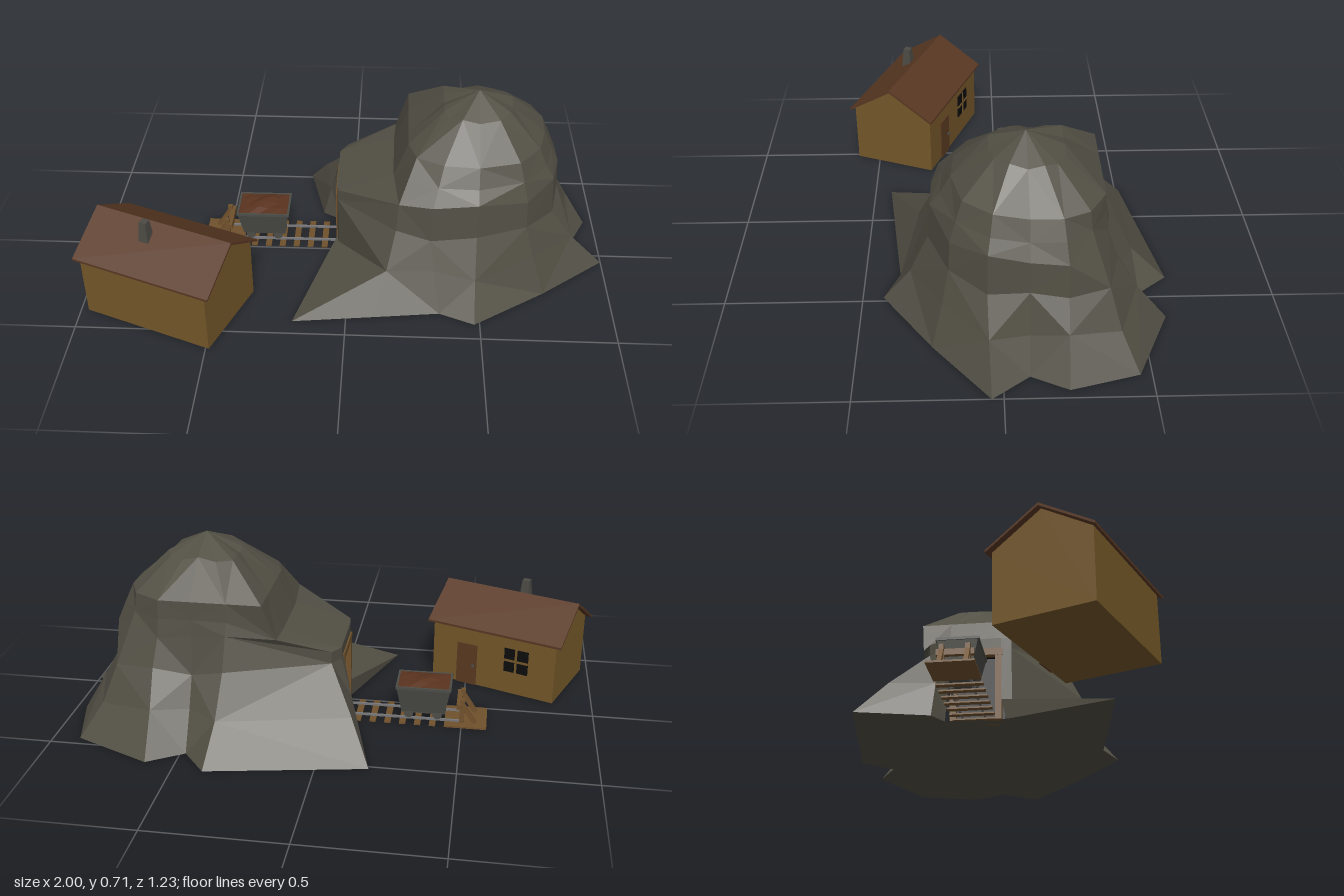
import * as THREE from 'three';

const mat = (color, side = THREE.FrontSide) =>
  new THREE.MeshStandardMaterial({ color, side, flatShading: true, roughness: 1 });
const M = {
  rock: mat(0x524f44), wall: mat(0x745729), roof: mat(0x593823), wood: mat(0x70512c),
  door: mat(0x5a3a20), iron: mat(0x4c4c47), rail: mat(0x77777a), ore: mat(0x5a331f),
  glass: mat(0x0c0c0e), dark: mat(0x0a0a0a, THREE.BackSide), stone: mat(0x4c4a44),
};

function add(parent, name, geo, material, x = 0, y = 0, z = 0) {
  const mesh = new THREE.Mesh(geo, material);
  mesh.name = name;
  mesh.position.set(x, y, z);
  parent.add(mesh);
  return mesh;
}
const box = (parent, name, w, h, d, material, x, y, z) =>
  add(parent, name, new THREE.BoxGeometry(w, h, d), material, x, y, z);

// Four-sided block whose top and bottom differ in size, base at y = 0
function taperedBox(w0, d0, w1, d1, h) {
  const g = new THREE.BoxGeometry(1, h, 1).translate(0, h / 2, 0);
  const p = g.attributes.position;
  for (let i = 0; i < p.count; i++) {
    const top = p.getY(i) > h / 2;
    p.setX(i, p.getX(i) * (top ? w1 : w0));
    p.setZ(i, p.getZ(i) * (top ? d1 : d0));
  }
  return g;
}

// Beam between two points
function beam(parent, name, a, b, t, material) {
  const A = new THREE.Vector3(...a), B = new THREE.Vector3(...b);
  const m = box(parent, name, t, t, A.distanceTo(B), material, 0, 0, 0);
  m.position.copy(A).add(B).multiplyScalar(0.5);
  m.lookAt(B);
  return m;
}

// Outlines of the hill (x, z), starting beside the tunnel and passing the front
const FOOT = [[-.05, .03], [-.2, .435], [.1, .4], [.35, .37], [.48, .425], [.75, .24], [1, .04], [.9, -.09],
  [.965, -.22], [.9, -.46], [.61, -.59], [.48, -.51], [.39, -.62], [-.19, -.515], [-.12, -.24], [-.05, -.2]];
const WAIST = [[-.05, .01], [-.045, .05], [.18, .235], [.31, .255], [.48, .255], [.67, .18], [.78, .05], [.81, -.09],
  [.81, -.22], [.77, -.36], [.62, -.4], [.48, -.38], [.36, -.4], [-.02, -.27], [-.05, -.22], [-.05, -.18]];
const SHOULDER = [[.22, -.05], [.22, .02], [.25, .11], [.35, .16], [.48, .17], [.63, .13], [.71, .03], [.74, -.09],
  [.74, -.2], [.7, -.29], [.6, -.35], [.48, -.35], [.35, -.35], [.22, -.35], [.22, -.23], [.22, -.13]];

function hillGeometry() {
  const n = FOOT.length, centre = [.48, -.085];
  const mix = (a, b, t) => [a[0] + (b[0] - a[0]) * t, a[1] + (b[1] - a[1]) * t];
  const ring = f => FOOT.map((_, i) => {
    const porch = i < 2 || i > n - 4; // columns carrying the ledge over the tunnel
    const [p, y] = f(i, porch);
    return new THREE.Vector3(p[0], y, p[1]);
  });
  const wob = (i, k) => 0.016 * Math.sin(i * 2.4 + k * 1.7);
  const steep = (i, front, back) => (i < 9 ? front : back);
  // The front spur stays low beside the tunnel, the back one climbs to the ledge
  const spur = i => (i < 2 ? [WAIST[i], .08] : [mix(FOOT[i], WAIST[i], .45), .14]);
  const rings = [
    ring(() => [centre, 0]),
    ring(i => [FOOT[i], 0]),
    ring((i, p) => (p ? spur(i) : [mix(FOOT[i], WAIST[i], .6), .14 + wob(i, 1)])),
    ring((i, p) => [WAIST[i], p ? .285 : .27 + wob(i, 2)]),
    ring((i, p) => [mix(WAIST[i], SHOULDER[i], p ? 0 : steep(i, .12, .7)), p ? .33 : .4 + wob(i, 3)]),
    ring((i, p) => [mix(WAIST[i], SHOULDER[i], p ? .8 : steep(i, .55, .9)), p ? .395 : .46]),
    ring(i => [SHOULDER[i], .53]),
    ring(i => [mix(SHOULDER[i], centre, .5), .645 + wob(i, 4) * .5]),
    ring(() => [centre, .71]),
  ];
  const pos = [];
  const tri = (a, b, c) => {
    if (a.equals(b) || b.equals(c) || a.equals(c)) return;
    for (const v of [a, b, c]) pos.push(v.x, v.y, v.z);
  };
  for (let r = 0; r < rings.length - 1; r++) {
    for (let i = 0; i < n; i++) {
      if (i === n - 1 && (r === 1 || r === 2)) continue; // tunnel mouth
      const j = (i + 1) % n;
      const a = rings[r][i], b = rings[r][j], c = rings[r + 1][j], d = rings[r + 1][i];
      if ((i + r) % 2 === 0) { tri(a, b, c); tri(a, c, d); } else { tri(a, b, d); tri(b, c, d); }
    }
  }
  const g = new THREE.BufferGeometry();
  g.setAttribute('position', new THREE.Float32BufferAttribute(pos, 3));
  g.computeVertexNormals();
  return g;
}

function buildTunnel() {
  const g = new THREE.Group();
  g.name = 'tunnel';
  box(g, 'tunnelInterior', .09, .283, .2, M.dark, -.003, .1435, -.085);
  for (const s of [-1, 1]) box(g, 'portalPost', .025, .265, .025, M.wood, -.043, .1325, -.085 + s * .085);
  box(g, 'portalLintel', .026, .028, .205, M.wood, -.043, .274, -.085);
  return g;
}

function buildTrack() {
  const g = new THREE.Group();
  g.name = 'track';
  for (let i = 0; i < 9; i++) box(g, 'sleeper', .024, .006, .165, M.wood, -.447 + i * .057, .003, -.09);
  for (const s of [-1, 1]) box(g, 'rail', .52, .008, .008, M.rail, -.23, .01, -.09 + s * .042);
  // Buffer stop on its plank base
  box(g, 'bufferBase', .15, .007, .165, M.wood, -.52, .0035, -.09);
  for (const s of [-1, 1]) {
    const z = -.09 + s * .045;
    beam(g, 'bufferPost', [-.5, .005, z], [-.5, .105, z], .018, M.wood);
    beam(g, 'bufferBrace', [-.55, .008, z], [-.5, .085, z], .016, M.wood);
  }
  box(g, 'bufferBeam', .018, .022, .13, M.wood, -.488, .08, -.09);
  return g;
}

function buildCart() {
  const g = new THREE.Group();
  g.name = 'mineCart';
  g.position.set(-.352, 0, -.09);
  add(g, 'tub', taperedBox(.165, .095, .205, .145, .112), M.iron, 0, .038);
  box(g, 'chassis', .17, .014, .06, M.iron, 0, .032, 0);
  for (const s of [-1, 1]) {
    box(g, 'rimSide', .21, .01, .008, M.iron, 0, .148, s * .071);
    box(g, 'rimEnd', .008, .01, .148, M.iron, s * .101, .148, 0);
    for (const t of [-1, 1]) {
      const wheel = add(g, 'wheel', new THREE.CylinderGeometry(.018, .018, .012, 10), M.iron, s * .055, .03, t * .042);
      wheel.rotation.x = Math.PI / 2;
    }
  }
  // Uneven heap of ore
  const heap = new THREE.PlaneGeometry(.196, .138, 5, 4).rotateX(-Math.PI / 2);
  const p = heap.attributes.position;
  for (let i = 0; i < p.count; i++) {
    const x = p.getX(i) / .098, z = p.getZ(i) / .069;
    p.setY(i, .012 * (1 - x * x) * (1 - z * z) * (1 + .5 * Math.sin(i * 2.3)));
  }
  add(g, 'ore', heap, M.ore, 0, .151);
  return g;
}

function buildCabin() {
  const g = new THREE.Group();
  g.name = 'cabin';
  g.position.set(-.667, 0, .338);
  g.rotation.y = -.372;
  const L = .52, W = .345, eave = .25, ridge = .36;
  const gable = new THREE.Shape([[-W / 2, 0], [W / 2, 0], [W / 2, eave], [0, ridge], [-W / 2, eave]]
    .map(q => new THREE.Vector2(...q)));
  const walls = new THREE.ExtrudeGeometry(gable, { depth: L, bevelEnabled: false });
  add(g, 'walls', walls.translate(0, 0, -L / 2).rotateY(Math.PI / 2), M.wall);
  // Roof as one folded sheet
  const h = W / 2 + .014;
  const fold = new THREE.Shape([[-h, .243], [0, ridge], [h, .243], [h, .252], [0, ridge + .01], [-h, .252]]
    .map(q => new THREE.Vector2(...q)));
  const roof = new THREE.ExtrudeGeometry(fold, { depth: .565, bevelEnabled: false });
  add(g, 'roof', roof.translate(0, 0, -.2825).rotateY(Math.PI / 2), M.roof);
  add(g, 'chimney', taperedBox(.042, .042, .028, .028, .09), M.stone, -.04, .316, .054);
  // Door and window on the track side
  const z = -W / 2;
  box(g, 'door', .085, .175, .012, M.door, .11, .088, z);
  box(g, 'doorHandle', .01, .01, .01, M.iron, .08, .085, z - .008);
  box(g, 'windowGlass', .1, .1, .008, M.glass, -.1, .145, z);
  box(g, 'windowUpright', .009, .1, .014, M.wall, -.1, .145, z);
  box(g, 'windowBar', .1, .009, .014, M.wall, -.1, .145, z);
  return g;
}

export function createModel() {
  const model = new THREE.Group();
  model.name = 'mine';
  add(model, 'hill', hillGeometry(), M.rock);
  model.add(buildTunnel(), buildTrack(), buildCart(), buildCabin());
  return model;
}
